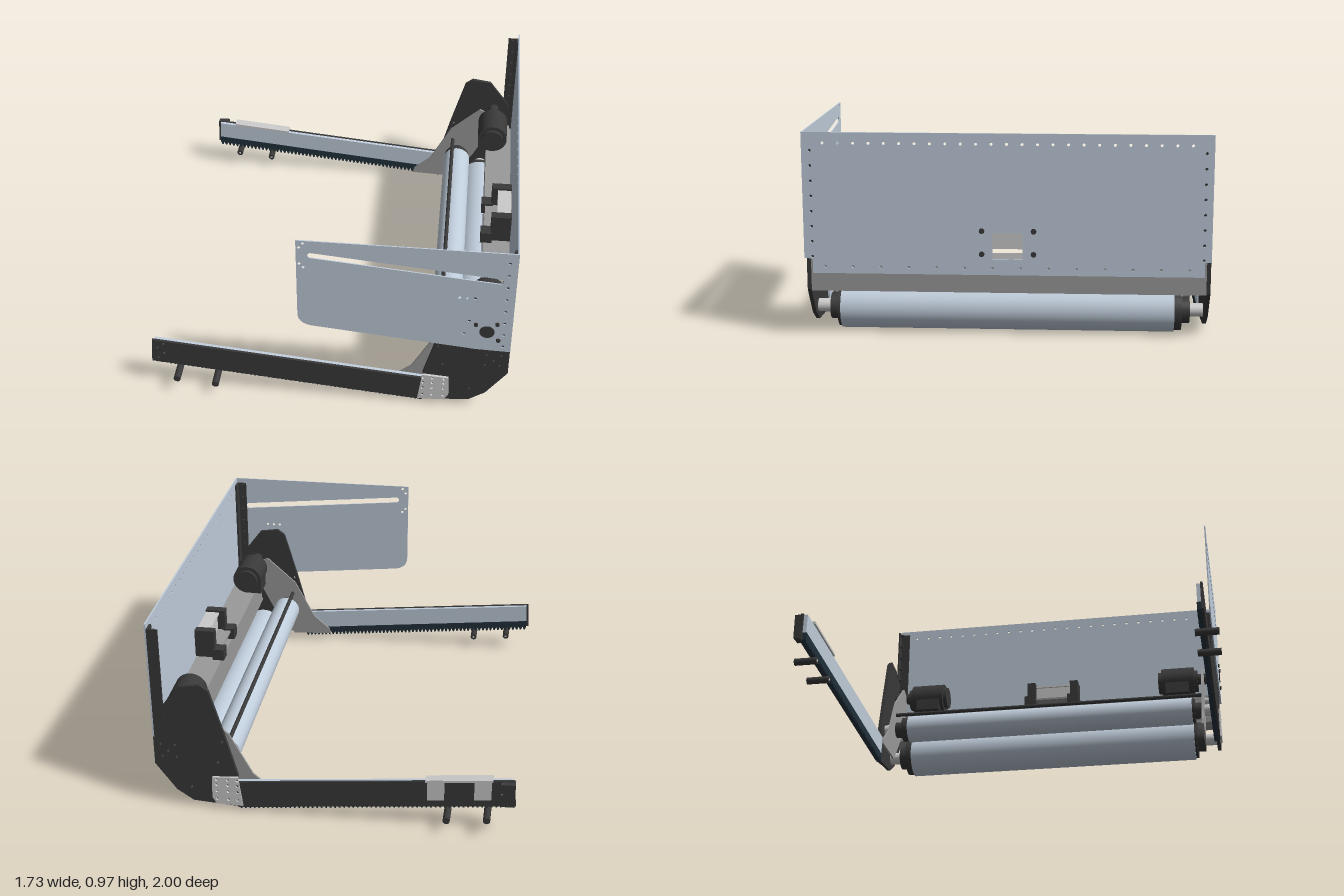
import * as THREE from 'three';

const mat = (color) => new THREE.MeshStandardMaterial({ color, side: THREE.DoubleSide });
const BLUE = mat(0xc0cddb), DARK = mat(0x393939), GREY = mat(0x9a9a9a), LIGHT = mat(0xcccccc), RACK = mat(0x22303a);

function add(parent, name, geometry, material) {
  const mesh = new THREE.Mesh(geometry, material);
  mesh.name = name;
  parent.add(mesh);
  return mesh;
}

function box(parent, name, m, x0, x1, y0, y1, z0, z1) {
  const g = new THREE.BoxGeometry(Math.abs(x1 - x0), Math.abs(y1 - y0), Math.abs(z1 - z0));
  g.translate((x0 + x1) / 2, (y0 + y1) / 2, (z0 + z1) / 2);
  return add(parent, name, g, m);
}

// Cylinder lying along z
function rod(parent, name, m, x, y, r, z0, z1, sides = 32) {
  const g = new THREE.CylinderGeometry(r, r, Math.abs(z1 - z0), sides);
  g.rotateX(Math.PI / 2).translate(x, y, (z0 + z1) / 2);
  return add(parent, name, g, m);
}

const polygon = (pts) => new THREE.Shape(pts.map(([x, y]) => new THREE.Vector2(x, y)));

function drill(shape, holes, r = 0.007) {
  for (const [x, y] of holes) shape.holes.push(new THREE.Path().absarc(x, y, r, 0, Math.PI * 2, true));
  return shape;
}

// Flat sheet in the xy plane between two z values
function sheet(parent, name, m, shape, z0, z1) {
  const g = new THREE.ExtrudeGeometry(shape, { depth: Math.abs(z1 - z0), bevelEnabled: false, curveSegments: 10 });
  g.translate(0, 0, Math.min(z0, z1));
  return add(parent, name, g, m);
}

// Tall panel across the end, with rivet holes and a latch window
function endPanel(root) {
  const shape = polygon([[-0.945, 0.38], [-0.91, 0.38], [-0.91, 0.31], [0.91, 0.31], [0.91, 0.38],
    [0.94, 0.38], [0.94, 0.975], [-0.945, 0.975]]);
  const holes = [];
  for (let i = 0; i < 25; i++) holes.push([-0.85 + i * 0.0705, 0.925]);
  for (let i = 0; i < 8; i++) holes.push([-0.91, 0.39 + i * 0.0715], [0.905, 0.39 + i * 0.0715]);
  for (let i = 0; i < 14; i++) holes.push([-0.85 + i * 0.13, 0.343]);
  drill(shape, holes);
  shape.holes.push(new THREE.Path().setFromPoints(
    [[-0.07, 0.385], [-0.07, 0.51], [0.07, 0.51], [0.07, 0.385]].map((p) => new THREE.Vector2(...p))));
  const g = new THREE.ExtrudeGeometry(shape, { depth: 0.008, bevelEnabled: false, curveSegments: 8 });
  g.rotateY(Math.PI / 2).translate(0.853, 0, 0);
  add(root, 'endPanel', g, BLUE);
}

// Slotted guard panel on the front side
function sidePanel(root) {
  const shape = new THREE.Shape();
  shape.moveTo(-0.14, 0.975);
  shape.lineTo(-0.14, 0.535);
  shape.quadraticCurveTo(-0.14, 0.472, -0.07, 0.463);
  shape.lineTo(0.70, 0.385);
  shape.lineTo(0.86, 0.38);
  shape.lineTo(0.86, 0.975);
  const slot = new THREE.Path();
  slot.absarc(-0.072, 0.892, 0.015, Math.PI * 0.47, Math.PI * 1.47, false);
  slot.absarc(0.787, 0.81, 0.015, Math.PI * 1.47, Math.PI * 2.47, false);
  shape.holes.push(slot);
  const holes = [[-0.125, 0.935], [-0.107, 0.96], [-0.125, 0.84], [-0.107, 0.82], [0.61, 0.7], [0.645, 0.7],
    [0.68, 0.7], [0.66, 0.56], [0.64, 0.48]];
  for (let i = 0; i < 8; i++) holes.push([0.823, 0.412 + i * 0.0725]);
  sheet(root, 'sidePanel', BLUE, drill(shape, holes), 0.943, 0.949);
  rod(root, 'hubPlate', DARK, 0.745, 0.5, 0.035, 0.94, 0.953);
  for (const [x, y] of [[0.692, 0.543], [0.79, 0.552], [0.80, 0.452]]) rod(root, 'hubBolt', DARK, x, y, 0.011, 0.935, 0.957, 6);
}

// Toothed arm, side plate and brackets; s = 1 front, -1 back
function sideFrame(root, s) {
  const side = new THREE.Group();
  side.name = s > 0 ? 'frontSide' : 'backSide';
  root.add(side);
  const bottom = (x) => 0.15 - (x + 0.865) * 0.1;

  const plate = polygon([[0.86, 0.23], [0.86, 0.385], [0.82, 0.53], [0.72, 0.66], [0.62, 0.675], [0.58, 0.645],
    [0.51, 0.40], [0.455, 0.19], [0.46, 0.02], [0.68, 0.035], [0.76, 0.09]]);
  drill(plate, [[0.525, 0.375], [0.55, 0.26], [0.685, 0.11], [0.75, 0.275], [0.755, 0.34], [0.79, 0.305],
    [0.82, 0.275], [0.825, 0.34]]);
  sheet(side, 'sidePlate', DARK, plate, s * 0.92, s * 0.938);

  const arm = polygon([[-0.855, 0.288], [-0.865, bottom(-0.865)], [0.46, bottom(0.46)], [0.47, 0.158]]);
  drill(arm, [[-0.83, 0.24], [-0.83, 0.175], [-0.80, 0.265], [-0.80, 0.205]]);
  sheet(side, 'arm', DARK, arm, s * 0.93, s * 0.942);
  sheet(side, 'armChannel', BLUE, polygon([[-0.845, 0.284], [-0.85, 0.19], [0.46, 0.055], [0.47, 0.156]]), s * 0.912, s * 0.93);

  // Saw-toothed rack under the arm
  const teeth = [[0.46, 0.055], [-0.85, 0.19]], count = 60, pitch = 1.31 / count;
  for (let i = 0; i < count; i++) {
    const x = -0.85 + i * pitch, y = bottom(x);
    teeth.push([x, y + 0.004], [x + pitch * 0.3, y - 0.014], [x + pitch * 0.6, y - 0.014], [x + pitch * 0.9, y + 0.004]);
  }
  sheet(side, 'toothedRack', RACK, polygon(teeth), s * 0.91, s * 0.932);

  // Cover plate joining arm and side plate
  const cover = polygon([[0.455, 0.19], [0.435, 0.03], [0.565, 0.035], [0.585, 0.07], [0.58, 0.18]]);
  const holes = [];
  for (const x of [0.46, 0.505, 0.56]) for (const y of [0.06, 0.105, 0.14, 0.17]) holes.push([x, y]);
  sheet(side, 'jointCover', LIGHT, drill(cover, holes), s * 0.938, s * 0.95);

  // Inner slanted bracket carrying the rollers
  sheet(side, 'rollerBracket', GREY, polygon([[0.67, 0.52], [0.76, 0.48], [0.74, 0.40], [0.64, 0.20], [0.52, 0.045],
    [0.30, 0.055], [0.31, 0.085], [0.40, 0.165], [0.51, 0.375]]), s * 0.855, s * 0.865);

  // Guide pegs below the arm tip
  for (const [x, y] of [[-0.735, 0.093], [-0.547, 0.075]]) {
    rod(side, 'guidePeg', DARK, x, y, 0.017, s * 0.89, s * 1.0, 16);
    rod(side, 'pegCore', LIGHT, x, y, 0.006, s * 0.888, s * 0.999, 12);
  }

  // Motor with gearbox and shaft
  rod(side, 'motor', DARK, 0.745, 0.48, 0.08, s * 0.63, s * 0.81);
  rod(side, 'motorCap', DARK, 0.745, 0.48, 0.06, s * 0.61, s * 0.83);
  rod(side, 'motorShaft', DARK, 0.745, 0.49, 0.03, s * 0.82, s * 0.92);
  box(side, 'motorTerminal', DARK, 0.67, 0.73, 0.39, 0.46, s * 0.65, s * 0.78);
  rod(side, 'spacer', LIGHT, 0.685, 0.33, 0.022, s * 0.862, s * 0.922);

  // Corner angle behind the end panel
  box(side, 'cornerAngle', DARK, 0.80, 0.853, 0.385, 0.95, s * 0.932, s * 0.94);
  box(side, 'cornerAngle', DARK, 0.842, 0.853, 0.385, 0.95, s * 0.885, s * 0.94);
  for (let i = 0; i < 8; i++) rod(side, 'angleBolt', DARK, 0.823, 0.43 + i * 0.0725, 0.009, s * 0.918, s * 0.934, 6);
}

// Roller with dark end caps, gear and bearings
function roller(root, name, x, y, r) {
  rod(root, name, BLUE, x, y, r, -0.78, 0.8, 64);
  for (const s of [-1, 1]) {
    rod(root, name + 'Cap', DARK, x, y, r * 0.92, s * 0.77, s * 0.815, 40);
    rod(root, name + 'Gear', DARK, x, y, r * 0.6, s * 0.81, s * 0.855, 24);
    rod(root, name + 'Bearing', LIGHT, x, y, 0.032, s * 0.85, s * 0.922, 24);
  }
}

export function createModel() {
  const root = new THREE.Group();
  root.name = 'rollerFrame';
  endPanel(root);
  sidePanel(root);
  for (const s of [1, -1]) sideFrame(root, s);

  roller(root, 'lowerRoller', 0.69, 0.106, 0.105);
  roller(root, 'upperRoller', 0.553, 0.225, 0.073);
  rod(root, 'tieRod', DARK, 0.525, 0.305, 0.01, -0.856, 0.856, 16);

  // Channel beam under the end panel
  box(root, 'beamTop', GREY, 0.722, 0.853, 0.372, 0.38, -0.92, 0.92);
  box(root, 'beamInnerWall', GREY, 0.715, 0.723, 0.24, 0.38, -0.87, 0.87);
  box(root, 'beamOuterWall', GREY, 0.845, 0.853, 0.23, 0.375, -0.92, 0.92);
  box(root, 'beamFloor', GREY, 0.72, 0.85, 0.222, 0.23, -0.92, 0.92);

  // Latch bracket behind the window
  const latch = new THREE.Group();
  latch.name = 'latch';
  root.add(latch);
  box(latch, 'latchPlate', LIGHT, 0.79, 0.80, 0.42, 0.53, -0.11, 0.11);
  box(latch, 'latchShelf', LIGHT, 0.78, 0.85, 0.52, 0.53, -0.11, 0.11);
  box(latch, 'latchFoot', GREY, 0.72, 0.79, 0.42, 0.43, -0.10, 0.10);
  for (const s of [-1, 1]) {
    box(latch, 'latchClamp', DARK, 0.75, 0.853, 0.39, 0.54, s * 0.10, s * 0.145);
    box(latch, 'latchPad', DARK, 0.70, 0.76, 0.38, 0.44, s * 0.09, s * 0.155);
    for (const y of [0.41, 0.52]) {
      const bolt = new THREE.CylinderGeometry(0.013, 0.013, 0.09, 12);
      bolt.rotateZ(Math.PI / 2).translate(0.822, y, s * 0.12);
      add(latch, 'latchBolt', bolt, DARK);
    }
  }

  // Clip-on cover and end block on the back arm
  const clip = new THREE.Group();
  clip.name = 'backArmClip';
  root.add(clip);
  sheet(clip, 'clipTop', LIGHT, polygon([[-0.755, 0.290], [-0.755, 0.278], [-0.44, 0.247], [-0.44, 0.258]]), -0.955, -0.905);
  for (const x of [-0.75, -0.53]) {
    const y = 0.29 - (x + 0.755) * 0.1;
    sheet(clip, 'clipTab', LIGHT, polygon([[x, y], [x, y - 0.11], [x + 0.08, y - 0.118], [x + 0.08, y - 0.008]]), -0.952, -0.942);
  }
  box(clip, 'armEndBlock', DARK, -0.86, -0.80, 0.16, 0.28, -0.97, -0.93);
  return root;
}
